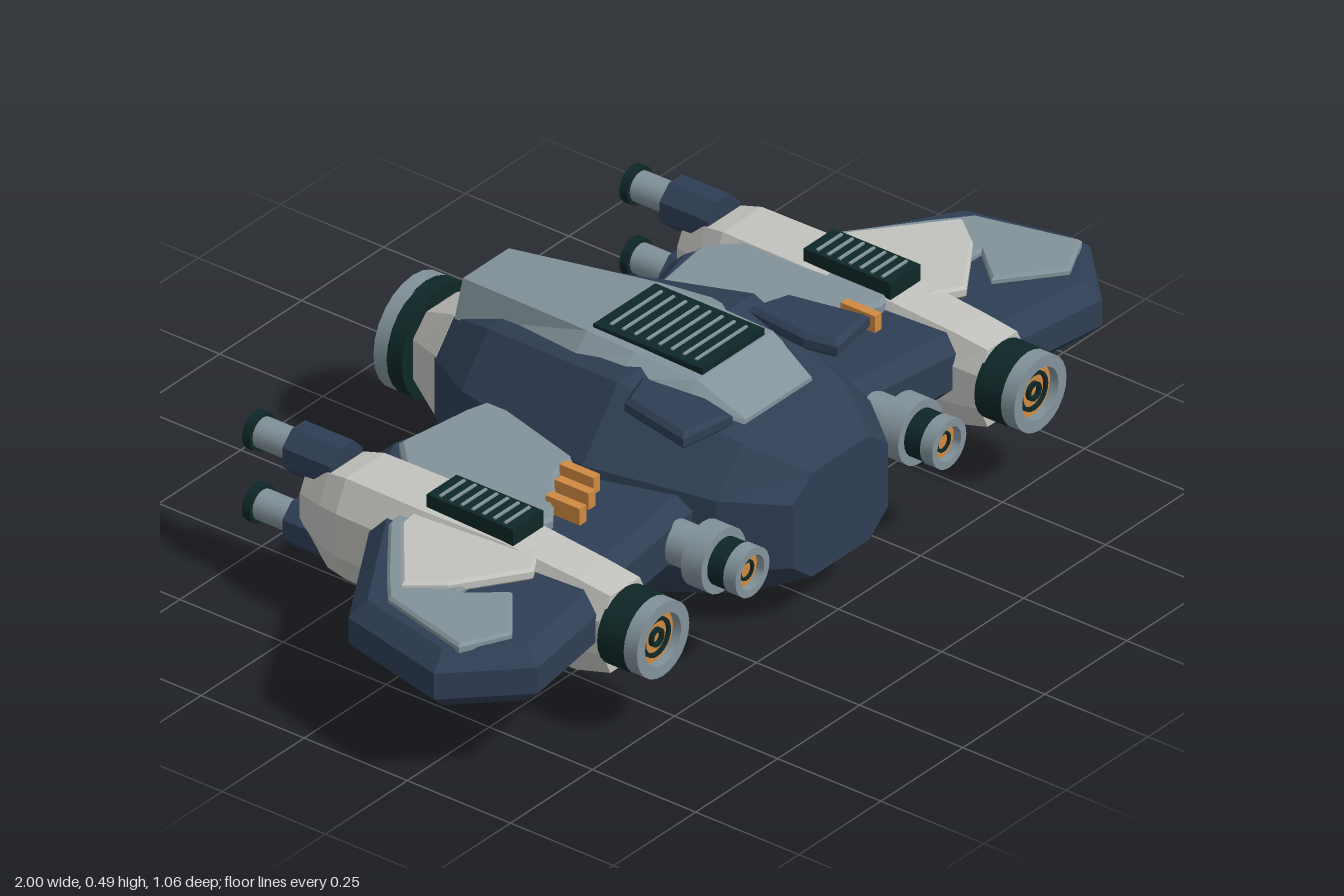
import * as THREE from 'three';
import { toCreasedNormals } from 'three/addons/utils/BufferGeometryUtils.js';

const paint = (name, color) => {
  const m = new THREE.MeshStandardMaterial({ color });
  m.name = name;
  return m;
};

// Octagonal and trapezoid cross-sections, counter-clockwise seen from +z
const oct = (z, cx, hw, y0, y1, fx = 0.66, fy = 0.42) => {
  const cy = (y0 + y1) / 2, h = (y1 - y0) / 2;
  return [[1, -fy], [1, fy], [fx, 1], [-fx, 1], [-1, fy], [-1, -fy], [-fx, -1], [fx, -1]]
    .map(([x, y]) => [cx + x * hw, cy + y * h, z]);
};
const trap = (z, cx, bottom, y0, top, y1) =>
  [[cx + bottom, y0, z], [cx + top, y1, z], [cx - top, y1, z], [cx - bottom, y0, z]];

// Flat-shaded skin over sections listed from front to back
function loft(sections) {
  const pos = [], n = sections[0].length;
  const tri = (...p) => p.forEach(v => pos.push(...v));
  for (let i = 0; i < sections.length - 1; i++) {
    const a = sections[i], b = sections[i + 1];
    for (let j = 0; j < n; j++) {
      const k = (j + 1) % n;
      tri(a[j], b[j], b[k]);
      tri(a[j], b[k], a[k]);
    }
  }
  const f = sections[0], r = sections[sections.length - 1];
  for (let j = 1; j < n - 1; j++) {
    tri(f[0], f[j], f[j + 1]);
    tri(r[0], r[j + 1], r[j]);
  }
  const g = new THREE.BufferGeometry();
  g.setAttribute('position', new THREE.Float32BufferAttribute(pos, 3));
  g.computeVertexNormals();
  return g;
}

// Horizontal slab from an x,z outline, bevelled inwards
function slab(points, side, y0, y1, bevel) {
  const shape = new THREE.Shape(points.map(([x, z]) => new THREE.Vector2(x * side, z)));
  const g = new THREE.ExtrudeGeometry(shape, {
    depth: y1 - y0 - 2 * bevel, bevelEnabled: true, bevelSegments: 1,
    bevelThickness: bevel, bevelSize: bevel, bevelOffset: -bevel,
  });
  return g.rotateX(Math.PI / 2).translate(0, y1 - bevel, 0);
}

// Turned part along z; profile is [radius, z], outside first
const turned = (profile, segments = 24) =>
  toCreasedNormals(new THREE.LatheGeometry(profile.map(p => new THREE.Vector2(...p)), segments)
    .rotateX(Math.PI / 2), 0.6);
const drum = (r, z0, z1, segments) => turned([[0, z0], [r, z0], [r, z1], [0, z1]], segments);
const ring = (ro, ri, z0, z1) => turned([[ri, z0], [ro, z0], [ro, z1], [ri, z1], [ri, z0]]);

export function createModel() {
  const navy = paint('navy hull', 0x2f3e54);
  const dark = paint('dark green', 0x0f2727);
  const steel = paint('steel grey', 0x82929a);
  const light = paint('light grey', 0xc2c3be);
  const orange = paint('orange glow', 0xd08a42);
  const model = new THREE.Group();

  const add = (parent, name, geometry, material, x = 0, y = 0, z = 0) => {
    const m = new THREE.Mesh(geometry, material);
    m.name = name;
    m.position.set(x, y, z);
    parent.add(m);
    return m;
  };
  const group = (name, x = 0, y = 0, z = 0) => {
    const g = new THREE.Group();
    g.name = name;
    g.position.set(x, y, z);
    model.add(g);
    return g;
  };
  // Louvred vent
  const vent = (name, x, y, z, w, h, d, slats) => {
    const g = group(name, x, y, z);
    add(g, 'ventBox', new THREE.BoxGeometry(w, h, d), dark);
    for (let i = 0; i < slats; i++)
      add(g, 'ventSlat', new THREE.BoxGeometry(w * 0.82, 0.005, 0.006), steel,
        0, h / 2 + 0.001, d * ((i + 1) / (slats + 1) - 0.5));
  };

  // Fuselage
  add(model, 'hull', loft([
    oct(0.505, 0, 0.145, 0.12, 0.35, 0.6, 0.6),
    oct(0.39, 0, 0.235, 0.07, 0.4, 0.64, 0.48),
    oct(0.13, 0, 0.315, 0.005, 0.467),
    oct(-0.235, 0, 0.225, 0.055, 0.418, 0.64, 0.45),
    oct(-0.37, 0, 0.137, 0.105, 0.365, 0.6, 0.5),
  ]), navy);
  add(model, 'tailCone', loft([
    oct(-0.365, 0, 0.139, 0.103, 0.372, 0.6, 0.5),
    oct(-0.475, 0, 0.08, 0.157, 0.317, 0.5, 0.5),
  ]), light);
  add(model, 'canopy', loft([
    trap(0.355, 0, 0.115, 0.38, 0.1, 0.418),
    trap(0.25, 0, 0.15, 0.43, 0.115, 0.473),
    trap(0.1, 0, 0.176, 0.45, 0.115, 0.478),
    trap(-0.02, 0, 0.16, 0.435, 0.112, 0.48),
    trap(-0.355, 0, 0.095, 0.372, 0.07, 0.45),
  ]), steel);
  vent('canopyVent', 0, 0.48, 0.113, 0.19, 0.014, 0.265, 8);

  // Rear engine
  const rear = group('rearEngine', 0, 0.237, 0);
  add(rear, 'engineCollar', drum(0.12, -0.5, -0.463), dark);
  add(rear, 'engineRim', ring(0.12, 0.078, -0.532, -0.498), steel);
  add(rear, 'engineGlow', drum(0.08, -0.515, -0.5), orange);
  add(rear, 'engineRing', ring(0.062, 0.055, -0.52, -0.51), dark);

  for (const s of [1, -1]) {
    const side = s > 0 ? 'left' : 'right';

    // Wings and their armour plates
    add(model, side + 'InnerWing', slab([[0.1, -0.13], [0.26, -0.21], [0.445, -0.255], [0.58, -0.2],
      [0.58, 0.37], [0.51, 0.375], [0.28, 0.345], [0.1, 0.34]], s, 0.175, 0.31, 0.03), navy);
    add(model, side + 'OuterWing', slab([[0.58, -0.13], [0.67, -0.105], [0.94, 0.06], [1, 0.315],
      [0.86, 0.455], [0.65, 0.425], [0.58, 0.4]], s, 0.175, 0.3, 0.034), navy);
    add(model, side + 'InnerPlate', slab([[0.24, -0.16], [0.29, -0.175], [0.46, -0.2], [0.56, -0.1],
      [0.56, 0.19], [0.5, 0.205], [0.37, 0.11], [0.24, 0.09]], s, 0.3, 0.334, 0.008), steel);
    add(model, side + 'OuterPlate', slab([[0.6, -0.06], [0.68, -0.05], [0.83, 0.065], [0.895, 0.12],
      [0.95, 0.335], [0.85, 0.385], [0.73, 0.29], [0.8, 0.21], [0.6, 0.2]],
      s, 0.29, 0.314, 0.006), steel);
    add(model, side + 'TopPlate', slab([[0.6, -0.03], [0.68, -0.02], [0.855, 0.12], [0.8, 0.19],
      [0.66, 0.285], [0.6, 0.25]], s, 0.3, 0.326, 0.006), light);

    // Shoulder block
    add(model, side + 'Shoulder', slab([[0.16, 0.15], [0.25, 0.18], [0.285, 0.35], [0.16, 0.37],
      [0.145, 0.3]], s, 0.432, 0.47, 0.01), navy);

    // Orange wing bars
    [[0.345, 0.147], [0.395, 0.175], [0.45, 0.197]].forEach(([x, z]) =>
      add(model, side + 'WingBar', new THREE.BoxGeometry(0.02, 0.045, 0.083), orange, s * x, 0.324, z));

    // Nacelle
    const nx = s * 0.575;
    add(model, side + 'Nacelle', loft([
      oct(0.44, nx, 0.068, 0.135, 0.305),
      oct(0.36, nx, 0.07, 0.113, 0.315),
      oct(0.18, nx, 0.076, 0.11, 0.33),
      oct(0, nx, 0.094, 0.11, 0.336),
      oct(-0.19, nx, 0.09, 0.112, 0.336),
      oct(-0.24, nx, 0.077, 0.115, 0.325),
      oct(-0.305, nx, 0.055, 0.165, 0.295),
    ]), light);
    vent(side + 'NacelleVent', nx, 0.345, 0.1, 0.092, 0.038, 0.21, 7);

    // Front nacelle nozzle
    const big = group(side + 'MainNozzle', nx, 0.222, 0);
    add(big, 'nozzleCollar', drum(0.082, 0.437, 0.5), dark);
    add(big, 'nozzleRim', ring(0.08, 0.055, 0.498, 0.532), steel);
    add(big, 'nozzleGlow', drum(0.057, 0.49, 0.512), orange);
    add(big, 'nozzleRing', ring(0.042, 0.034, 0.505, 0.518), dark);
    add(big, 'nozzleHub', ring(0.02, 0.012, 0.505, 0.52), dark);

    // Small inner nozzle
    const small = group(side + 'SmallNozzle', s * 0.3, 0.24, 0);
    add(small, 'nozzleBase', drum(0.068, 0.41, 0.46), steel);
    add(small, 'nozzleNeck', drum(0.045, 0.3, 0.415), steel);
    add(small, 'nozzleCollar', drum(0.05, 0.455, 0.505), dark);
    add(small, 'nozzleRim', ring(0.052, 0.036, 0.5, 0.53), steel);
    add(small, 'nozzleGlow', drum(0.038, 0.49, 0.512), orange);
    add(small, 'nozzleRing', ring(0.022, 0.016, 0.505, 0.517), dark);

    // Twin rear barrels
    for (const y of [0.317, 0.157]) {
      const gun = group(side + 'Barrel', nx, y, 0);
      add(gun, 'barrelMount', drum(0.053, -0.352, -0.235, 8).rotateZ(Math.PI / 8), navy);
      add(gun, 'barrelTube', drum(0.032, -0.445, -0.35, 16), steel);
      add(gun, 'barrelTip', ring(0.04, 0.02, -0.457, -0.438), dark);
      add(gun, 'barrelBore', drum(0.021, -0.449, -0.44, 16), steel);
    }
  }
  return model;
}
